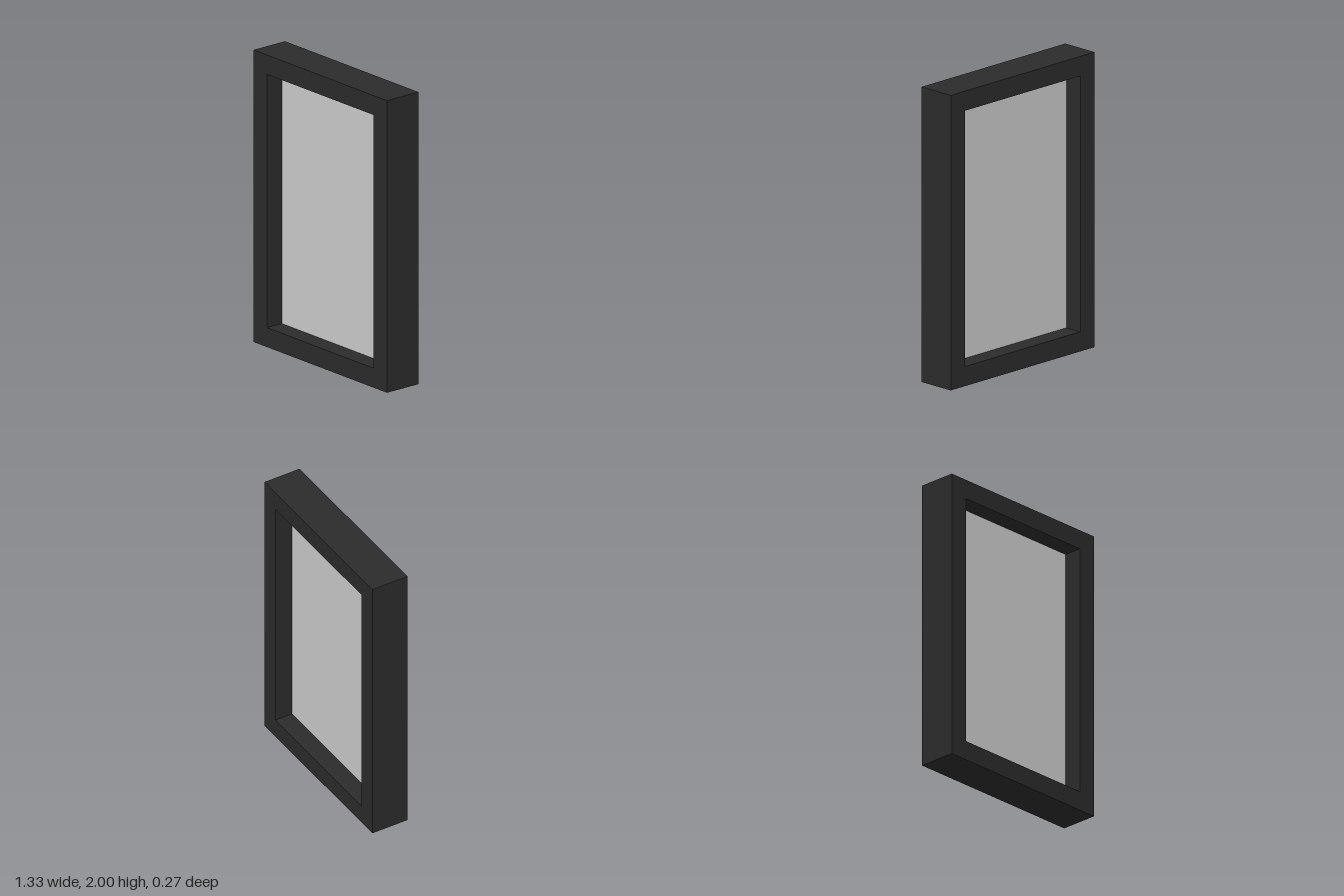
import * as THREE from 'three';

const WIDTH = 1.333, HEIGHT = 2, DEPTH = 0.267, BORDER = 0.133;

// Closed rectangle centred on the origin
function rectangle(path, w, h) {
  path.moveTo(-w / 2, -h / 2);
  path.lineTo(w / 2, -h / 2);
  path.lineTo(w / 2, h / 2);
  path.lineTo(-w / 2, h / 2);
  path.closePath();
  return path;
}

export function createModel() {
  const group = new THREE.Group();
  group.name = 'window';
  const openW = WIDTH - 2 * BORDER, openH = HEIGHT - 2 * BORDER;

  // Dark surround with a rectangular opening
  const outline = rectangle(new THREE.Shape(), WIDTH, HEIGHT);
  outline.holes.push(rectangle(new THREE.Path(), openW, openH));
  const frameGeometry = new THREE.ExtrudeGeometry(outline, { depth: DEPTH, bevelEnabled: false });
  frameGeometry.translate(0, HEIGHT / 2, -DEPTH / 2);
  const frame = new THREE.Mesh(frameGeometry, new THREE.MeshStandardMaterial({ color: 0x2b2b2b }));
  frame.name = 'frame';

  // Thin pane at mid-depth
  const pane = new THREE.Mesh(
    new THREE.BoxGeometry(openW, openH, 0.014),
    new THREE.MeshStandardMaterial({ color: 0xcccccc })
  );
  pane.name = 'pane';
  pane.position.y = HEIGHT / 2;

  group.add(frame, pane);
  return group;
}
